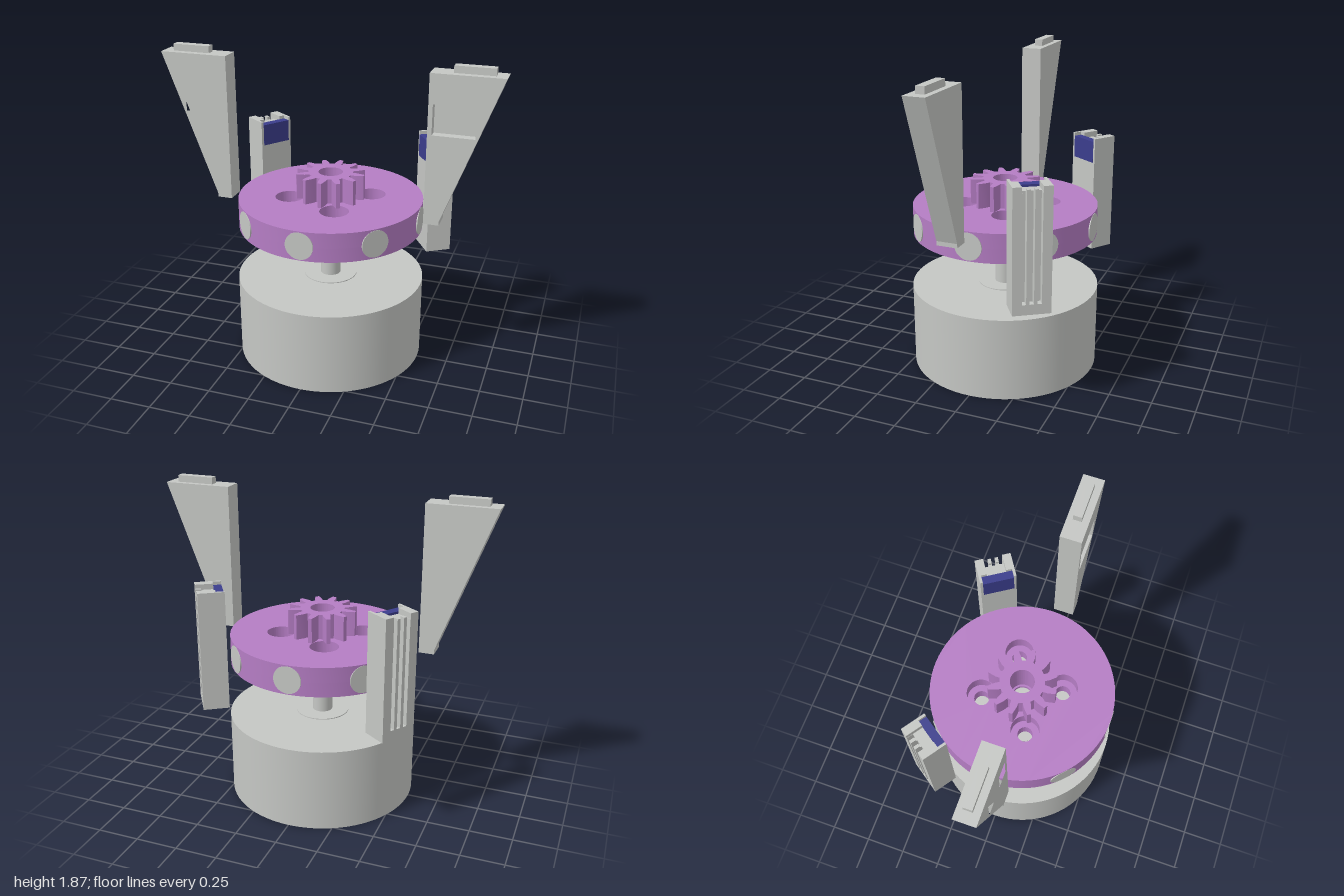
import * as THREE from 'three';
import { toCreasedNormals } from 'three/addons/utils/BufferGeometryUtils.js';

const material = (name, color) => {
  const m = new THREE.MeshStandardMaterial({ color });
  m.name = name;
  return m;
};

export function createModel() {
  const gray = material('light gray', 0xc5c7c4);
  const purple = material('purple', 0xb57dc4);
  const blue = material('dark blue', 0x3b3d8c);

  const root = new THREE.Group();
  root.name = 'rotorAssembly';

  const add = (parent, name, geometry, mat, x = 0, y = 0, z = 0) => {
    const mesh = new THREE.Mesh(geometry, mat);
    mesh.name = name;
    mesh.position.set(x, y, z);
    parent.add(mesh);
    return mesh;
  };
  const box = (parent, name, mat, x0, x1, y0, y1, z0, z1) =>
    add(parent, name, new THREE.BoxGeometry(x1 - x0, y1 - y0, z1 - z0), mat,
      (x0 + x1) / 2, (y0 + y1) / 2, (z0 + z1) / 2);
  const polygon = (pts) => new THREE.Shape(pts.map(([x, y]) => new THREE.Vector2(x, y)));
  const circle = (type, x, y, r) => {
    const c = new type();
    c.absarc(x, y, r, 0, Math.PI * 2, false);
    return c;
  };
  // Plan outline (shape y points to -z) raised from y0 to y1
  const raise = (parent, name, shape, mat, y0, y1) => {
    const geo = new THREE.ExtrudeGeometry(shape, { depth: y1 - y0, bevelEnabled: false, curveSegments: 40 });
    geo.rotateX(-Math.PI / 2);
    return add(parent, name, toCreasedNormals(geo, 0.5), mat, 0, y0, 0);
  };
  const cylinder = (name, r, y0, y1) =>
    add(root, name, new THREE.CylinderGeometry(r, r, y1 - y0, 72), gray, 0, (y0 + y1) / 2, 0);

  // Motor with a low boss and a shaft
  cylinder('motorBody', 0.565, 0, 0.5);
  cylinder('motorBoss', 0.16, 0.5, 0.505);
  cylinder('motorShaft', 0.06, 0.505, 0.9);

  // Rotor disc: narrow holes below, wide counterbores above
  const layer = (name, y0, y1, holeRadius, boreRadius) => {
    const shape = circle(THREE.Shape, 0, 0, 0.55);
    shape.holes.push(circle(THREE.Path, 0, 0, boreRadius));
    for (let i = 0; i < 4; i++) {
      const a = THREE.MathUtils.degToRad(23 + i * 90);
      shape.holes.push(circle(THREE.Path, 0.245 * Math.cos(a), 0.245 * Math.sin(a), holeRadius));
    }
    raise(root, name, shape, purple, y0, y1);
  };
  layer('rotorDiscLower', 0.835, 0.92, 0.045, 0.0605);
  layer('rotorDiscUpper', 0.92, 1.01, 0.085, 0.072);

  // Gear with twelve tapered teeth
  const teeth = 12;
  const outline = [];
  for (let i = 0; i < teeth; i++) {
    const a = (i / teeth) * Math.PI * 2;
    for (const [da, r] of [[-0.17, 0.132], [-0.135, 0.16], [-0.055, 0.206], [0.055, 0.206], [0.135, 0.16], [0.17, 0.132]]) {
      outline.push([r * Math.cos(a + da), r * Math.sin(a + da)]);
    }
  }
  const gear = polygon(outline);
  gear.holes.push(circle(THREE.Path, 0, 0, 0.072));
  raise(root, 'gear', gear, purple, 1.01, 1.16);

  // Eight round magnets in the rim
  for (let i = 0; i < 8; i++) {
    const a = (i * Math.PI) / 4;
    const geo = new THREE.CylinderGeometry(0.082, 0.082, 0.03, 40);
    geo.rotateX(Math.PI / 2);
    const magnet = add(root, 'rimMagnet', geo, gray, 0.536 * Math.sin(a), 0.922, 0.536 * Math.cos(a));
    magnet.rotation.y = a;
  }

  // Tapered side plates with a front pocket and a top tab
  const plateOutline = (s) => polygon(
    [[0.592, 0.96], [0.682, 0.96], [0.682, 0.985], [1, 1.832], [0.592, 1.832]].map(([x, y]) => [s * x, y]));
  for (const s of [1, -1]) {
    const plate = new THREE.Group();
    plate.name = s > 0 ? 'leftPlate' : 'rightPlate';
    root.add(plate);
    const slab = (name, shape, z0, z1) =>
      add(plate, name, new THREE.ExtrudeGeometry(shape, { depth: z1 - z0, bevelEnabled: false }), gray, 0, 0, z0);
    slab('plateBack', plateOutline(s), 0, 0.07);
    const front = plateOutline(s);
    front.holes.push(new THREE.Path(
      [[0.617, 1.488], [0.857, 1.488], [0.857, 1.663], [0.617, 1.663]].map(([x, y]) => new THREE.Vector2(s * x, y))));
    slab('plateFront', front, 0.07, 0.123);
    const [x0, x1] = s > 0 ? [0.713, 0.938] : [-0.938, -0.713];
    box(plate, 'plateTab', gray, x0, x1, 1.832, 1.872, 0.033, 0.083);
  }

  // Sensor posts: slots on the outer side, a blue block on the inner side
  const W = 0.108, D = 0.0765;
  const slotted = (inner) => {
    const pts = [...inner, [W, D]];
    for (const c of [0.043, 0, -0.043]) {
      pts.push([c + 0.012, D], [c + 0.012, D - 0.04], [c - 0.012, D - 0.04], [c - 0.012, D]);
    }
    return polygon([...pts, [-W, D]]);
  };
  const solidInner = [[-W, -D], [W, -D]];
  const pocketInner = [[-W, -D], [-0.093, -D], [-0.093, -0.028], [0.093, -0.028], [0.093, -D], [W, -D]];
  for (const [name, degrees] of [['leftSensor', -57], ['rightSensor', 55]]) {
    const pivot = new THREE.Group();
    pivot.name = name;
    pivot.rotation.y = THREE.MathUtils.degToRad(degrees);
    root.add(pivot);
    const post = new THREE.Group();
    post.name = 'sensorPost';
    post.position.z = -0.66;
    pivot.add(post);
    raise(post, 'postFoot', polygon([...solidInner, [W, D], [-W, D]]), gray, 0.615, 0.675);
    raise(post, 'postBody', slotted(solidInner), gray, 0.675, 1.18);
    raise(post, 'postHead', slotted(pocketInner), gray, 1.18, 1.3);
    for (const s of [1, -1]) {
      const ends = (a, b) => (s > 0 ? [a, b] : [-b, -a]);
      box(post, 'topCorner', gray, ...ends(0.057, W), 1.3, 1.333, -D, 0.028);
      box(post, 'topSideWall', gray, ...ends(0.093, W), 1.3, 1.333, 0.028, D);
      box(post, 'topRib', gray, ...ends(0.012, 0.031), 1.3, 1.318, -D, -0.045);
    }
    box(post, 'sensorBlock', blue, -0.093, 0.093, 1.18, 1.313, 0.028, D + 0.001);
  }

  return root;
}
